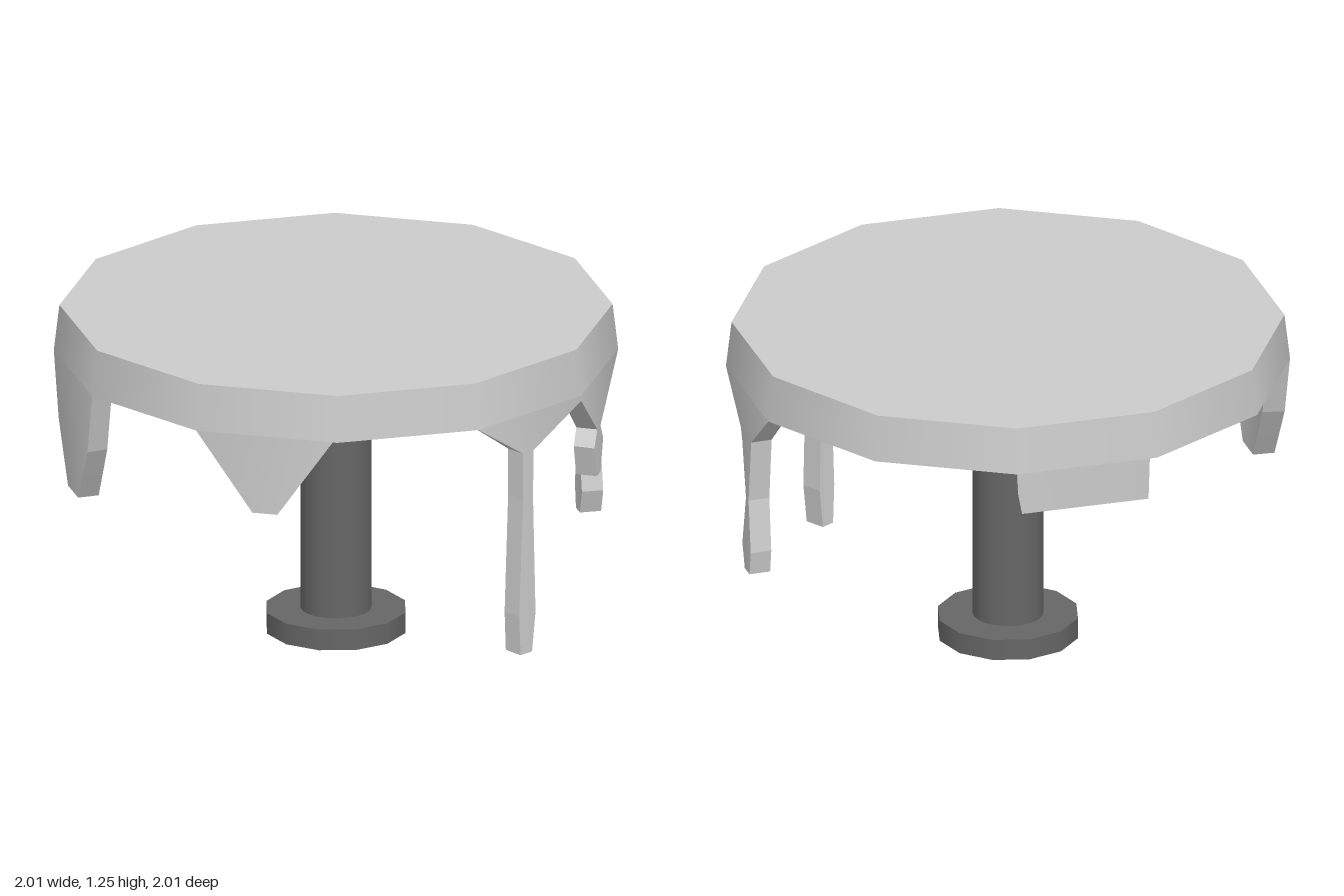
import * as THREE from 'three';

const SIDES = 12;
const STEP = Math.PI / 6;
const APOTHEM = 1, THICK = 0.08;           // skirt outer distance and thickness
const RIM_Y = 1.08, TOP_Y = 1.255;
const H = Math.tan(STEP / 2);              // half a side of the twelve-sided top
const toRadius = (a) => a / Math.cos(STEP / 2);

const cloth = new THREE.MeshStandardMaterial({ color: 0xcccccc, side: THREE.DoubleSide });
const dark = new THREE.MeshStandardMaterial({ color: 0x666666, side: THREE.DoubleSide });

function add(parent, name, geometry, material) {
  const mesh = new THREE.Mesh(geometry, material);
  mesh.name = name;
  parent.add(mesh);
  return mesh;
}

// Two-point lathe with the corners of the twelve-sided top
function band(a, b, phi = STEP / 2) {
  return new THREE.LatheGeometry([new THREE.Vector2(...a), new THREE.Vector2(...b)], SIDES, phi);
}

function disc(radius, y, facing) {
  const g = new THREE.CircleGeometry(radius, SIDES, STEP / 2);
  return g.rotateX(-facing * Math.PI / 2).translate(0, y, 0);
}

// Hanging piece on one side: outline in (along side, height), mitred inwards
function dripGeometry(outline) {
  const shape = new THREE.Shape(outline.map((p) => new THREE.Vector2(...p)));
  const g = new THREE.ExtrudeGeometry(shape, { depth: THICK, bevelEnabled: false });
  g.translate(0, 0, APOTHEM - THICK);
  const p = g.attributes.position, n = g.attributes.normal;
  for (let i = 0; i < p.count; i++) {
    const x = p.getX(i), s = Math.sign(n.getZ(i));
    // Faces of the skirt share the round shading of the rim
    if (Math.abs(n.getZ(i)) > 0.99) {
      const len = Math.hypot(x, APOTHEM);
      n.setXYZ(i, s * x / len, 0, s * APOTHEM / len);
    }
    if (p.getZ(i) < APOTHEM - THICK / 2) p.setX(i, x * (1 - THICK / APOTHEM));
  }
  return g;
}

// Angle from the front towards +x, and outline of each hanging piece
const drips = [
  ['wedgeDrip', -30, [[-H, 1.08], [-0.055, 0.78], [0.04, 0.78], [0.25, 1.08]]],
  ['longDrip', 30, [[-H, 1.08], [-0.035, 0.93], [-0.035, 0.75], [-0.055, 0.3], [-0.048, 0.15],
    [0.012, 0.15], [0.03, 0.3], [0.017, 0.75], [0.02, 0.93], [H, 1.06], [H, 1.08]]],
  ['shortDrip', 60, [[-H, 1.08], [-H, 1.06], [-0.035, 0.87], [-0.077, 0.81], [-0.04, 0.69],
    [0.012, 0.69], [0.05, 0.81], [0.012, 0.87], [H, 1.08]]],
  ['pinchedDrip', 90, [[-H, 1.08], [-0.07, 0.905], [-0.015, 0.66], [-0.06, 0.46], [-0.03, 0.37],
    [0.03, 0.37], [0.045, 0.46], [0.018, 0.66], [0.05, 0.905], [H, 1.08]]],
  ['backFlap', 180, [[-H, 1.08], [-0.265, 1.0], [-0.25, 0.92], [0.235, 0.92], [0.24, 1.08]]],
  ['broadDrip', -90, [[-H, 1.08], [-0.2, 0.84], [-0.13, 0.72], [-0.07, 0.62],
    [0.07, 0.62], [0.13, 0.72], [0.2, 0.84], [H, 1.08]]],
];

export function createModel() {
  const model = new THREE.Group();
  model.name = 'pedestalTable';

  // Table top with its skirt
  const top = new THREE.Group();
  top.name = 'tableTop';
  top.rotation.y = -0.012;
  model.add(top);

  const outTop = [toRadius(0.98), TOP_Y], outLow = [toRadius(APOTHEM), RIM_Y];
  const inTop = [toRadius(0.91), TOP_Y - 0.02], inLow = [toRadius(APOTHEM - THICK), RIM_Y];
  add(top, 'topSurface', disc(outTop[0], TOP_Y, 1), cloth);
  add(top, 'rimOuter', band(outLow, outTop), cloth);
  add(top, 'rimBottom', band(inLow, outLow), cloth);
  add(top, 'rimInner', band(inTop, inLow), cloth);
  add(top, 'underside', disc(inTop[0], inTop[1], -1), dark);

  for (const [name, degrees, outline] of drips) {
    const drip = add(top, name, dripGeometry(outline), cloth);
    drip.rotation.y = THREE.MathUtils.degToRad(degrees);
  }

  // Column
  const baseTop = 0.08, height = inTop[1] - baseTop;
  const column = add(model, 'column', new THREE.CylinderGeometry(0.13, 0.13, height, 24), dark);
  column.position.y = baseTop + height / 2;

  // Hollow foot, open underneath
  const foot = new THREE.Group();
  foot.name = 'foot';
  model.add(foot);
  add(foot, 'footWall', band([0.263, 0], [0.263, baseTop], 0), dark);
  add(foot, 'footTop', band([0.263, baseTop], [0, baseTop], 0), dark);

  return model;
}
